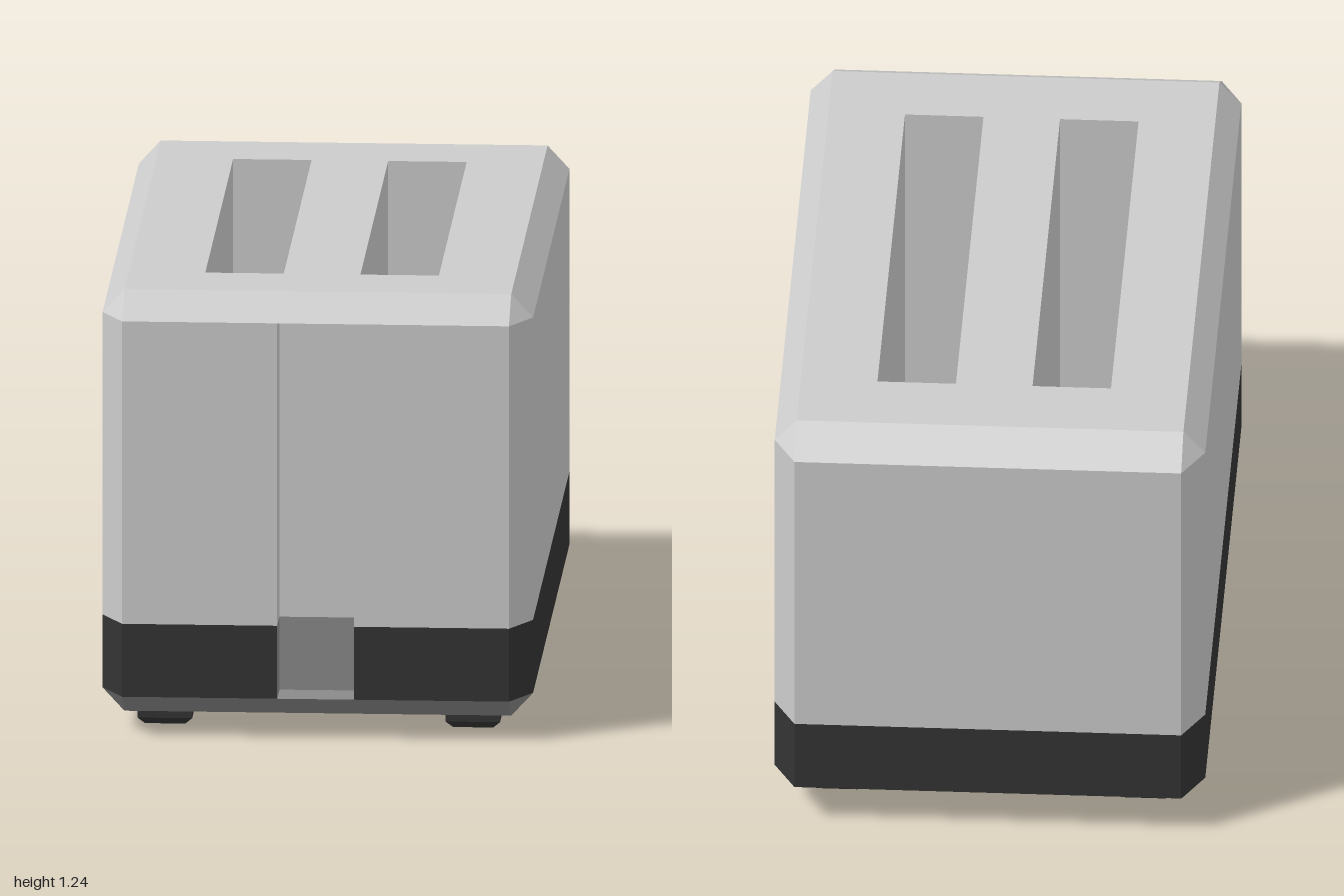
import * as THREE from 'three';

const HX = 0.59, HZ = 1, CX = 0.53, CZ = 0.89; // outer half sizes and chamfer lines
const Y = { bottom: 0.05, bevel: 0.115, split: 0.32, shoulder: 1.17, top: 1.235 };
const GROOVE = 0.105;

// Side surface between two rings of [x, z] points, faceted, facing outward.
function loft(lower, upper, y0, y1, closed = true) {
  const pos = [];
  const n = lower.length;
  for (let i = 0; i < (closed ? n : n - 1); i++) {
    const j = (i + 1) % n;
    const a = [lower[i][0], y0, lower[i][1]], b = [lower[j][0], y0, lower[j][1]];
    const c = [upper[j][0], y1, upper[j][1]], d = [upper[i][0], y1, upper[i][1]];
    pos.push(...a, ...b, ...c, ...a, ...c, ...d);
  }
  const geo = new THREE.BufferGeometry();
  geo.setAttribute('position', new THREE.Float32BufferAttribute(pos, 3));
  geo.computeVertexNormals();
  return geo;
}

// Rectangle ring, in the outward-facing order.
const rect = (x0, x1, z0, z1) => [[x1, z1], [x1, z0], [x0, z0], [x0, z1]];

// Horizontal rectangle facing up or down.
function plate(x0, x1, z0, z1, y, up = true) {
  return new THREE.PlaneGeometry(x1 - x0, z1 - z0)
    .rotateX(up ? -Math.PI / 2 : Math.PI / 2)
    .translate((x0 + x1) / 2, y, (z0 + z1) / 2);
}

export function createModel() {
  const group = new THREE.Group();
  const grey = new THREE.MeshStandardMaterial({ color: 0xcccccc, flatShading: true });
  const mid = new THREE.MeshStandardMaterial({ color: 0x8a8a8a, flatShading: true });
  const dark = new THREE.MeshStandardMaterial({ color: 0x333333, flatShading: true });
  const add = (name, geo, mat) => {
    const mesh = new THREE.Mesh(geo, mat);
    mesh.name = name;
    group.add(mesh);
  };

  // Chamfered outline, and the smaller rectangle its corners collapse to
  const octagon = [[CX, HZ], [HX, CZ], [HX, -CZ], [CX, -HZ],
    [-CX, -HZ], [-HX, -CZ], [-HX, CZ], [-CX, HZ]];
  const inner = octagon.map(([x, z]) => [Math.sign(x) * CX, Math.sign(z) * CZ]);
  const outline = [[GROOVE, HZ], ...octagon, [-GROOVE, HZ]];
  const notch = [[-GROOVE, HZ], [-GROOVE, CZ], [GROOVE, CZ], [GROOVE, HZ]];

  // Casing walls and the dark band below
  add('casing', loft(outline, outline, Y.split, Y.shoulder, false), grey);
  add('baseBand', loft(outline, outline, Y.bevel, Y.split, false), dark);

  // Lever groove in the front
  add('grooveUpper', loft(notch, notch, Y.split, Y.shoulder, false), grey);
  add('grooveLower', loft(notch, notch, Y.bevel, Y.split, false), mid);
  add('grooveCeiling', plate(-GROOVE, GROOVE, CZ, HZ, Y.shoulder, false), grey);
  add('grooveFloor', plate(-GROOVE, GROOVE, CZ, HZ, Y.bevel), mid);

  // Chamfered top with two bread slots
  add('topBevel', loft(octagon, inner, Y.shoulder, Y.top), grey);
  const toPoints = (ring) => ring.map(([x, z]) => new THREE.Vector2(x, -z));
  const topShape = new THREE.Shape(toPoints(rect(-CX, CX, -CZ, CZ)));
  for (const [x0, x1] of [[-0.32, -0.105], [0.105, 0.32]]) {
    const slot = rect(x0, x1, -0.68, 0.68);
    topShape.holes.push(new THREE.Path(toPoints(slot)));
    const walls = slot.slice().reverse();
    add('slotWalls', loft(walls, walls, Y.split, Y.top), grey);
    add('slotFloor', plate(x0, x1, -0.68, 0.68, Y.split), grey);
  }
  add('topFace', new THREE.ShapeGeometry(topShape).rotateX(-Math.PI / 2).translate(0, Y.top, 0), grey);

  // Chamfered underside
  add('bottomBevel', loft(inner, octagon, Y.bottom, Y.bevel), mid);
  add('bottomFace', plate(-CX, CX, -CZ, CZ, Y.bottom, false), mid);

  // Four feet with tapered soles
  for (const sx of [-1, 1]) for (const sz of [-1, 1]) {
    const x = sx * 0.422, z = sz * 0.787;
    const pad = rect(x - 0.075, x + 0.075, z - 0.055, z + 0.055);
    const sole = rect(x - 0.055, x + 0.055, z - 0.035, z + 0.035);
    add('foot', loft(pad, pad, 0.02, Y.bottom), dark);
    add('footTaper', loft(sole, pad, 0, 0.02), dark);
    add('footSole', plate(x - 0.055, x + 0.055, z - 0.035, z + 0.035, 0, false), dark);
  }
  return group;
}
